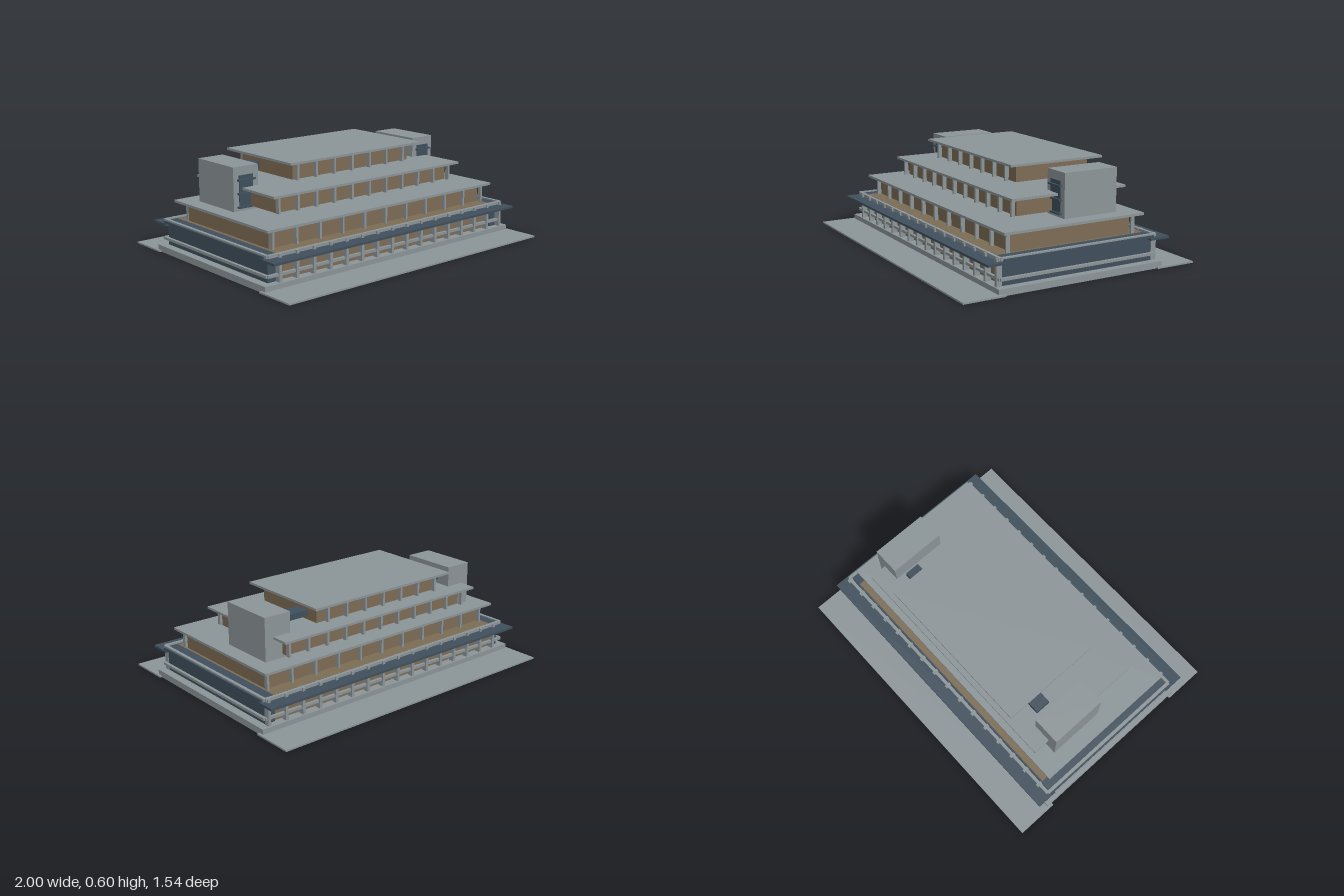
import * as THREE from 'three';

const concrete = new THREE.MeshStandardMaterial({ color: 0x8c9598 });
const navy = new THREE.MeshStandardMaterial({ color: 0x3f4f5c });
const timber = new THREE.MeshStandardMaterial({ color: 0x7d6c54 });

// Box given by its extents on each axis
function block(parent, name, mat, [x0, x1], [y0, y1], [z0, z1]) {
  const mesh = new THREE.Mesh(new THREE.BoxGeometry(x1 - x0, y1 - y0, z1 - z0), mat);
  mesh.position.set((x0 + x1) / 2, (y0 + y1) / 2, (z0 + z1) / 2);
  mesh.name = name;
  parent.add(mesh);
  return mesh;
}

function group(parent, name) {
  const g = new THREE.Group();
  g.name = name;
  parent.add(g);
  return g;
}

// Row of square posts along x
function posts(parent, name, x0, step, count, w, y, z) {
  for (let i = 0; i < count; i++) {
    const x = x0 + i * step;
    block(parent, name, concrete, [x - w / 2, x + w / 2], y, z);
  }
}

// Rectangular rail loop around the building
function railLoop(parent, name, hx, hz, y, w) {
  for (const s of [-1, 1]) {
    block(parent, name, concrete, [-hx, hx], y, [s * hz - w / 2, s * hz + w / 2]);
    block(parent, name, concrete, [s * hx - w / 2, s * hx + w / 2], y, [-hz, hz]);
  }
}

export function createModel() {
  const model = new THREE.Group();
  model.name = 'terracedBuilding';

  // Paving strips and plinth
  const base = group(model, 'base');
  block(base, 'frontPaving', concrete, [-1, 1], [0, 0.01], [0.51, 0.77]);
  block(base, 'backPaving', concrete, [-1, 1], [0, 0.01], [-0.77, -0.51]);
  block(base, 'plinth', concrete, [-0.985, 0.985], [0, 0.04], [-0.545, 0.545]);

  // Ground floor with colonnades, rails and canopy
  const ground = group(model, 'groundFloor');
  block(ground, 'groundWall', timber, [-0.87, 0.87], [0.04, 0.195], [-0.49, 0.49]);
  for (const s of [-1, 1]) {
    const x = s > 0 ? [0.87, 0.935] : [-0.935, -0.87];
    block(ground, 'endWall', navy, x, [0.04, 0.195], [-0.5, 0.5]);
    const z = s > 0 ? [0.475, 0.605] : [-0.605, -0.475];
    block(ground, 'canopy', navy, [-0.97, 0.97], [0.166, 0.18], z);
    posts(ground, 'groundColumn', -0.87, 0.12, 16, 0.018, [0.04, 0.2],
      s > 0 ? [0.5, 0.535] : [-0.535, -0.5]);
  }
  block(ground, 'terraceDeck', navy, [-0.965, 0.965], [0.18, 0.194], [-0.5, 0.5]);
  railLoop(ground, 'lowerRail', 0.95, 0.518, [0.074, 0.09], 0.018);
  railLoop(ground, 'upperRail', 0.945, 0.515, [0.184, 0.202], 0.02);

  // Stepped upper storeys: wall, roof slab, columns front and back
  const tiers = [
    { name: 'secondFloor', x: [-0.85, 0.855], y: [0.19, 0.306], z: [-0.4, 0.4],
      roofX: [-0.905, 0.905], roofY: [0.306, 0.321], roofZ: [-0.47, 0.467],
      first: -0.84, step: 0.17, count: 11, cols: [-0.42, 0.42] },
    { name: 'thirdFloor', x: [-0.69, 0.69], y: [0.343, 0.445], z: [-0.375, 0.26],
      roofX: [-0.75, 0.75], roofY: [0.445, 0.459], roofZ: [-0.45, 0.325],
      first: -0.69, step: 0.138, count: 11, cols: [-0.4, 0.285] },
    { name: 'fourthFloor', x: [-0.465, 0.468], y: [0.483, 0.586], z: [-0.37, 0.13],
      roofX: [-0.53, 0.525], roofY: [0.586, 0.6], roofZ: [-0.44, 0.198],
      first: -0.45, step: 0.142, count: 7, cols: [-0.39, 0.155] },
  ];
  for (const t of tiers) {
    const g = group(model, t.name);
    block(g, 'wall', timber, t.x, t.y, t.z);
    block(g, 'roofSlab', concrete, t.roofX, t.roofY, t.roofZ);
    for (const z of t.cols) {
      posts(g, 'column', t.first, t.step, t.count, 0.014, t.y, [z - 0.012, z + 0.012]);
    }
  }

  // Stair towers with glazing, fins and bridges to the top storey
  for (const s of [-1, 1]) {
    const span = (a, b) => (s > 0 ? [a, b] : [-b, -a]);
    const g = group(model, s > 0 ? 'leftTower' : 'rightTower');
    block(g, 'towerShaft', concrete, span(0.633, 0.808), [0.32, 0.585], [-0.34, 0.018]);
    block(g, 'towerWindow', navy, span(0.673, 0.77), [0.335, 0.533], [0.015, 0.024]);
    for (const y of [0.345, 0.425, 0.505]) {
      block(g, 'windowFin', navy, span(0.662, 0.782), [y - 0.005, y + 0.005], [0.015, 0.037]);
    }
    block(g, 'bridge', navy, span(0.46, 0.593), [0.504, 0.54], [-0.29, -0.195]);
  }

  return model;
}
